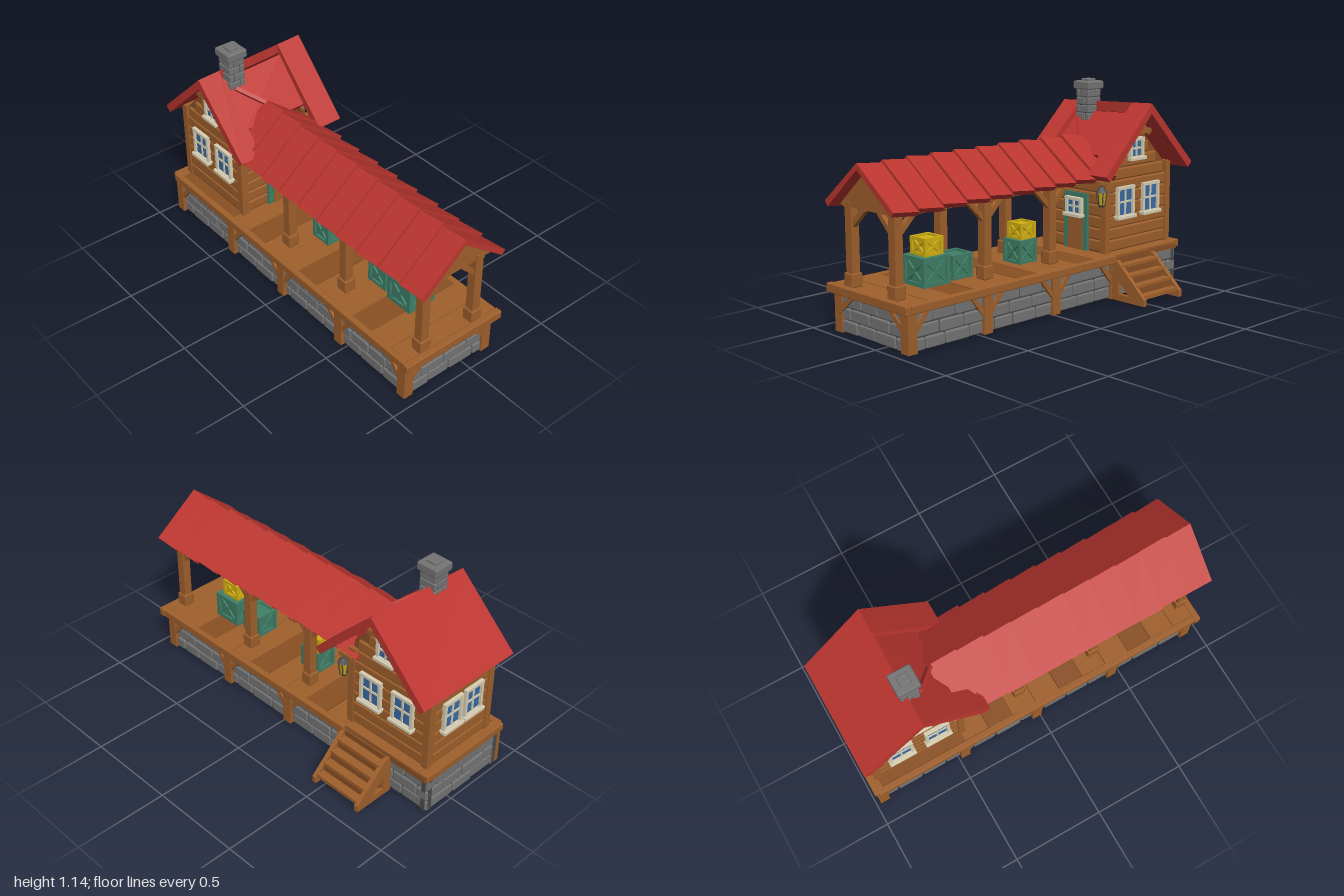
import * as THREE from 'three';
import { RoundedBoxGeometry } from 'three/addons/geometries/RoundedBoxGeometry.js';

const mat = (name, color, side = THREE.FrontSide) => {
  const m = new THREE.MeshStandardMaterial({ color, side });
  m.name = name;
  return m;
};
const M = {
  wood: mat('wood', 0xa0602c), darkWood: mat('dark wood', 0x8a5024), red: mat('roof red', 0xbd3630),
  stone: mat('stone', 0x757575), mortar: mat('dark grey', 0x4c4c4c), teal: mat('teal paint', 0x3f8068),
  yellow: mat('yellow paint', 0xd2b012), cream: mat('cream trim', 0xd9d0b4), glass: mat('window blue', 0x3a6ca6),
};

let seed = 7;
const rnd = () => (seed = (seed * 16807) % 2147483647) / 2147483647;

function add(parent, name, geo, m) {
  const mesh = new THREE.Mesh(geo, m);
  mesh.name = name;
  parent.add(mesh);
  return mesh;
}
function group(parent, name) {
  const g = new THREE.Group();
  g.name = name;
  parent.add(g);
  return g;
}
// Box from its extents; r > 0 rounds the edges
function box(p, name, m, x0, x1, y0, y1, z0, z1, r = 0) {
  const s = [x1 - x0, y1 - y0, z1 - z0];
  const mesh = add(p, name, r ? new RoundedBoxGeometry(...s, 1, r) : new THREE.BoxGeometry(...s), m);
  mesh.position.set((x0 + x1) / 2, (y0 + y1) / 2, (z0 + z1) / 2);
  return mesh;
}
// Square timber between two points
function beam(p, name, m, a, b, w, d = w) {
  const A = new THREE.Vector3(...a), B = new THREE.Vector3(...b), dir = B.clone().sub(A);
  const mesh = add(p, name, new THREE.BoxGeometry(w, dir.length(), d), m);
  mesh.position.copy(A).add(B).multiplyScalar(0.5);
  mesh.quaternion.setFromUnitVectors(new THREE.Vector3(0, 1, 0), dir.normalize());
  return mesh;
}
const outline = pts => new THREE.Shape(pts.map(q => new THREE.Vector2(...q)));
const extrude = (shape, depth) => new THREE.ExtrudeGeometry(shape, { depth, bevelEnabled: false });
// Profile given as (z, y), running from x0 to x1
const extrudeX = (pts, x0, x1) => extrude(outline(pts), x1 - x0).rotateY(-Math.PI / 2).translate(x1, 0, 0);

// Three courses of rounded stones on a dark backing wall
function stoneWall(p, axis, from, to, at) {
  const g = group(p, 'stoneWall');
  const put = (name, m, a, b, y0, y1, t, r) => axis === 'x'
    ? box(g, name, m, a, b, y0, y1, at - t, at + t, r) : box(g, name, m, at - t, at + t, y0, y1, a, b, r);
  put('mortar', M.mortar, from, to, 0.005, 0.2, 0.012, 0);
  for (let row = 0; row < 3; row++) {
    let a = from;
    while (a < to - 0.005) {
      let b = a + (a === from && row % 2 ? 0.07 : 0.12 + 0.05 * rnd());
      if (b > to - 0.05) b = to;
      put('stone', M.stone, a + 0.002, b - 0.002, row * 0.064 + 0.003, row * 0.064 + 0.063, 0.02 + 0.006 * rnd(), 0.009);
      a = b;
    }
  }
}

// Paned window facing +z around its own centre
function windowUnit(p, x, y, z, turn, w, h) {
  const g = group(p, 'window'), X = w / 2, Y = h / 2, f = 0.016;
  box(g, 'glass', M.glass, -X, X, -Y, Y, 0, 0.006);
  for (const s of [-1, 1]) {
    box(g, 'frameSide', M.cream, s * X - f / 2, s * X + f / 2, -Y, Y, -0.01, 0.018);
    box(g, 'frameRail', M.cream, -X - f / 2, X + f / 2, s * Y - f / 2, s * Y + f / 2, -0.01, 0.02);
  }
  box(g, 'muntin', M.cream, -0.005, 0.005, -Y, Y, 0, 0.012);
  box(g, 'muntin', M.cream, -X, X, -0.004, 0.006, 0, 0.012);
  box(g, 'sill', M.cream, -X - 0.015, X + 0.015, -Y - 0.014, -Y + 0.006, -0.01, 0.032, 0.004);
  g.position.set(x, y, z);
  g.rotation.y = turn;
}

// Crate with edge battens and crossed braces on every side
function crate(p, m, x, y, z, w, h) {
  const g = group(p, 'crate'), X = w / 2, t = w * 0.13;
  box(g, 'crateBody', m, -X + 0.012, X - 0.012, 0.005, h - 0.01, -X + 0.012, X - 0.012);
  for (let i = 0; i < 4; i++) {
    const s = group(g, 'crateSide');
    s.rotation.y = i * Math.PI / 2;
    box(s, 'batten', m, -X, -X + t, 0, h, X - t, X);
    for (const y0 of [0, h - t]) box(s, 'batten', m, -X, X, y0, y0 + t, X - t, X - 0.001);
    for (const e of [-1, 1])
      beam(s, 'cross', m, [-e * (X - t), t * 0.8, X - 0.009], [e * (X - t), h - t * 0.8, X - 0.009], t * 0.75, 0.012);
  }
  g.position.set(x, y, z);
}

function buildBase(root) {
  const g = group(root, 'base');
  stoneWall(g, 'x', -0.34, 0.13, 0.915);
  stoneWall(g, 'x', -0.34, 0.165, -0.955);
  stoneWall(g, 'z', -0.98, 0.9, -0.345);
  stoneWall(g, 'z', -0.98, 0.9, 0.14);
  for (const z of [0.92, 0.45, -0.02, -0.46, -0.95]) {
    for (const [x, s] of [[-0.358, -1], [0.15, 1]]) {
      if (z < -0.9 && s > 0) continue;
      box(g, 'basePost', M.wood, x - 0.028, x + 0.028, 0, 0.2, z - 0.027, z + 0.027);
      for (const d of [-1, 1])
        if (Math.abs(z + d * 0.1) < 0.95 && !(z < -0.4 && d < 0))
          beam(g, 'baseBrace', M.wood, [x + s * 0.012, 0.1, z + d * 0.02], [x + s * 0.012, 0.2, z + d * 0.1], 0.024);
      if (z > 0.9) beam(g, 'frontBrace', M.wood, [x, 0.1, 0.935], [x - s * 0.12, 0.2, 0.935], 0.026);
    }
  }
  // Deck floor, planks and rim timbers
  box(g, 'deckFloor', M.darkWood, -0.38, 0.18, 0.195, 0.225, -0.97, 0.96);
  for (let i = 0; i < 10; i++) {
    const z = -0.45 + i * 0.142;
    box(g, 'deckPlank', i % 3 === 1 ? M.darkWood : M.wood, -0.385, 0.19, 0.215, 0.236 + 0.006 * rnd(), z + 0.002, z + 0.14);
  }
  box(g, 'rimLeftSide', M.wood, -0.4, -0.365, 0.198, 0.242, -0.97, 0.95, 0.006);
  box(g, 'rimRightSide', M.wood, 0.17, 0.205, 0.198, 0.242, -0.45, 0.95, 0.006);
  box(g, 'rimFront', M.wood, -0.405, 0.21, 0.198, 0.245, 0.945, 0.982, 0.006);
  box(g, 'rimBack', M.wood, -0.39, 0.18, 0.2, 0.242, -0.99, -0.93, 0.006);
  box(g, 'rimHouse', M.wood, 0.11, 0.18, 0.2, 0.24, -0.98, -0.44, 0.006);
}

function buildStairs(root) {
  const g = group(root, 'stairs');
  const side = outline([[0.17, 0], [0.4, 0], [0.4, 0.035], [0.21, 0.215], [0.17, 0.215]]);
  side.holes.push(new THREE.Path([[0.22, 0.035], [0.22, 0.11], [0.295, 0.035]].map(q => new THREE.Vector2(...q))));
  for (const z of [-0.463, -0.75]) add(g, 'stringer', extrude(side, 0.023), M.wood).position.z = z;
  for (let i = 0; i < 4; i++) {
    const x = 0.355 - i * 0.048, y = 0.04 + i * 0.047;
    box(g, 'tread', M.wood, x - 0.022, x + 0.034, y - 0.008, y + 0.012, -0.735, -0.455);
    box(g, 'riser', M.darkWood, x - 0.022, x - 0.012, y, y + 0.045, -0.73, -0.46);
  }
}

function buildHouse(root) {
  const g = group(root, 'house');
  box(g, 'walls', M.darkWood, -0.3, 0.12, 0.22, 0.68, -0.93, -0.44);
  const gable = [[-0.44, 0.67], [-0.44, 0.73], [-0.655, 0.945], [-0.93, 0.67]];
  for (const x of [-0.3, 0.1]) add(g, 'gableWall', extrudeX(gable, x, x + 0.02), M.darkWood);
  // Log courses, shortened under the gables
  for (let i = 0; i < 9; i++) {
    const y = 0.243 + i * 0.064, top = y + 0.062, reach = 0.935 - top;
    const z0 = Math.max(-0.93, -0.655 - reach), z1 = Math.min(-0.44, -0.655 + reach);
    box(g, 'sideLog', M.wood, 0.1, 0.135, y, top, z0, z1, 0.01);
    box(g, 'sideLog', M.wood, -0.315, -0.28, y, top, z0, z1, 0.01);
    if (i < 7) {
      box(g, 'frontLog', M.wood, -0.3, 0.12, y, top, -0.46, -0.428, 0.01);
      box(g, 'backLog', M.wood, -0.3, 0.12, y, top, -0.944, -0.91, 0.01);
    }
  }
  for (const x of [-0.302, 0.122]) for (const z of [-0.44, -0.93])
    box(g, 'cornerPost', M.wood, x - 0.02, x + 0.02, 0.24, 0.69, z - 0.019, z + 0.019);
  for (const [x, s] of [[-0.315, -1], [0.135, 1]]) {
    for (const z of [-0.575, -0.78]) windowUnit(g, x, 0.505, z, s * Math.PI / 2, 0.12, 0.155);
    windowUnit(g, x, 0.785, -0.66, s * Math.PI / 2, 0.095, 0.1);
    // Gable trusses
    const X = x + s * 0.03;
    for (const d of [-1, 1]) beam(g, 'gableBrace', M.wood, [X, 0.86, -0.655 + d * 0.075], [X, 0.94, -0.655 - d * 0.01], 0.022);
    box(g, 'gableTie', M.wood, X - 0.012, X + 0.012, 0.865, 0.89, -0.74, -0.57);
  }
  for (const x of [-0.015, -0.165]) windowUnit(g, x, 0.505, -0.944, Math.PI, 0.115, 0.155);
  // Front door
  box(g, 'doorFrame', M.teal, -0.155, 0.015, 0.24, 0.55, -0.44, -0.415);
  box(g, 'door', M.wood, -0.122, -0.018, 0.24, 0.515, -0.42, -0.41);
  windowUnit(g, -0.07, 0.475, -0.41, 0, 0.1, 0.085);
}

function buildHouseRoof(root) {
  const g = group(root, 'houseRoof');
  const front = [[-0.655, 1.02], [-0.655, 0.965], [-0.335, 0.65], [-0.305, 0.678]];
  const back = [[-0.655, 1.02], [-0.998, 0.685], [-0.97, 0.655], [-0.655, 0.965]];
  const inset = [[-0.64, 0.965], [-0.66, 0.92], [-0.46, 0.73], [-0.44, 0.76]];
  for (const [name, pts, x0, x1] of [['backSlope', back, -0.39, 0.25], ['frontSlope', front, -0.39, -0.265],
    ['frontSlope', front, 0.11, 0.25], ['insetSlope', inset, -0.27, 0.115]]) {
    const geo = extrudeX(pts, x0, x1), pos = geo.attributes.position;
    // The ridge rises gently toward +x
    for (let i = 0; i < pos.count; i++)
      pos.setY(i, pos.getY(i) + 0.045 * (pos.getX(i) + 0.07) * (pos.getY(i) > 0.8 ? 1 : 0.3));
    geo.computeVertexNormals();
    add(g, name, geo, M.red);
  }
  beam(g, 'valleyStrip', M.red, [-0.215, 0.92, -0.585], [-0.105, 0.84, -0.48], 0.03, 0.02);
  // Chimney
  const c = group(root, 'chimney');
  box(c, 'chimneyCore', M.mortar, -0.234, -0.152, 0.9, 1.08, -0.684, -0.598);
  for (let i = 0; i < 4; i++) {
    const y = 0.91 + i * 0.043, m = i % 2 ? -0.21 : -0.175;
    for (const [x0, x1] of [[-0.24, m - 0.001], [m + 0.001, -0.146]])
      box(c, 'chimneyStone', M.stone, x0, x1, y, y + 0.041, -0.69, -0.592, 0.006);
  }
  box(c, 'chimneyCap', M.stone, -0.252, -0.134, 1.08, 1.125, -0.702, -0.58, 0.008);
  box(c, 'chimneyTop', M.stone, -0.222, -0.165, 1.12, 1.137, -0.67, -0.612, 0.004);
}

function buildPorch(root) {
  const g = group(root, 'porch'), cx = -0.1;
  for (const [x, s] of [[-0.265, 1], [0.065, -1]]) {
    for (const z of [0.92, 0.37, -0.08]) {
      box(g, 'post', M.wood, x - 0.024, x + 0.024, 0.24, 0.64, z - 0.023, z + 0.023);
      box(g, 'postFoot', M.wood, x - 0.032, x + 0.032, 0.24, 0.31, z - 0.032, z + 0.032, 0.006);
      beam(g, 'crossBrace', M.wood, [x, 0.53, z], [x + s * 0.11, 0.635, z], 0.026);
      for (const d of z > 0.9 ? [-1] : [-1, 1])
        beam(g, 'lengthBrace', M.wood, [x, 0.53, z], [x, 0.64, z + d * 0.11], 0.026);
    }
    box(g, 'topBeam', M.wood, x - 0.024, x + 0.024, 0.63, 0.66, -0.44, 0.95);
  }
  for (const z of [0.92, 0.37, -0.08])
    box(g, 'crossBeam', M.wood, -0.315, 0.125, 0.635, 0.668, z - 0.025, z + 0.025);
  const tri = outline([[-0.31, 0.662], [0.115, 0.662], [cx, 0.835]]);
  add(g, 'porchGable', extrude(tri, 0.02), M.wood).position.z = 0.925;
  const ceiling = outline([[-0.33, 0.632], [cx, 0.818], [0.135, 0.645], [0.135, 0.66], [cx, 0.835], [-0.33, 0.647]]);
  add(g, 'ceiling', extrude(ceiling, 1.38), M.wood).position.z = -0.44;
  // Overlapping roof sections, each lifted at its front edge
  const tile = outline([[-0.338, 0.625], [-0.105, 0.828], [0.138, 0.642], [0.158, 0.665], [-0.105, 0.86], [-0.36, 0.65]]);
  for (let i = 0; i < 10; i++) {
    const z = 0.85 - i * 0.1485, geo = extrude(tile, 0.155), pos = geo.attributes.position;
    const dx = (rnd() - 0.5) * 0.008;
    for (let k = 0; k < pos.count; k++) {
      const lift = pos.getZ(k) > 0.07 ? 1 : -1;
      pos.setY(k, pos.getY(k) + lift * 0.008);
      pos.setX(k, cx + (pos.getX(k) - cx) * (1 + lift * 0.008) + dx);
    }
    geo.computeVertexNormals();
    add(g, 'roofSection', geo, M.red).position.z = z;
  }
  // Crates
  crate(g, M.teal, -0.07, 0.24, 0.63, 0.165, 0.145);
  crate(g, M.yellow, -0.07, 0.385, 0.625, 0.115, 0.09);
  crate(g, M.teal, -0.07, 0.24, 0.45, 0.13, 0.125);
  crate(g, M.teal, -0.07, 0.24, 0, 0.125, 0.125);
  crate(g, M.yellow, -0.07, 0.365, -0.01, 0.105, 0.085);
}

function buildLantern(root) {
  const g = group(root, 'lantern');
  const ring = (name, m, r1, r0, h, y) => add(g, name, new THREE.CylinderGeometry(r1, r0, h, 6).toNonIndexed(), m).position.y = y;
  ring('lanternGlass', M.yellow, 0.027, 0.018, 0.07, 0.545);
  ring('lanternBase', M.mortar, 0.02, 0.014, 0.012, 0.507);
  ring('lanternCap', M.mortar, 0.012, 0.034, 0.028, 0.594);
  ring('lanternTip', M.mortar, 0.006, 0.008, 0.02, 0.615);
  for (let i = 0; i < 6; i++) {
    const a = i * Math.PI / 3, s = Math.sin(a), c = Math.cos(a);
    beam(g, 'lanternBar', M.mortar, [0.018 * s, 0.51, 0.018 * c], [0.028 * s, 0.582, 0.028 * c], 0.005);
  }
  g.position.set(0.14, 0, -0.39);
  box(g, 'lanternArm', M.wood, -0.012, 0.012, 0.62, 0.64, -0.06, 0.025);
}

export function createModel() {
  seed = 7;
  const root = new THREE.Group();
  root.name = 'porchCabin';
  for (const build of [buildBase, buildStairs, buildHouse, buildHouseRoof, buildPorch, buildLantern]) build(root);
  return root;
}
